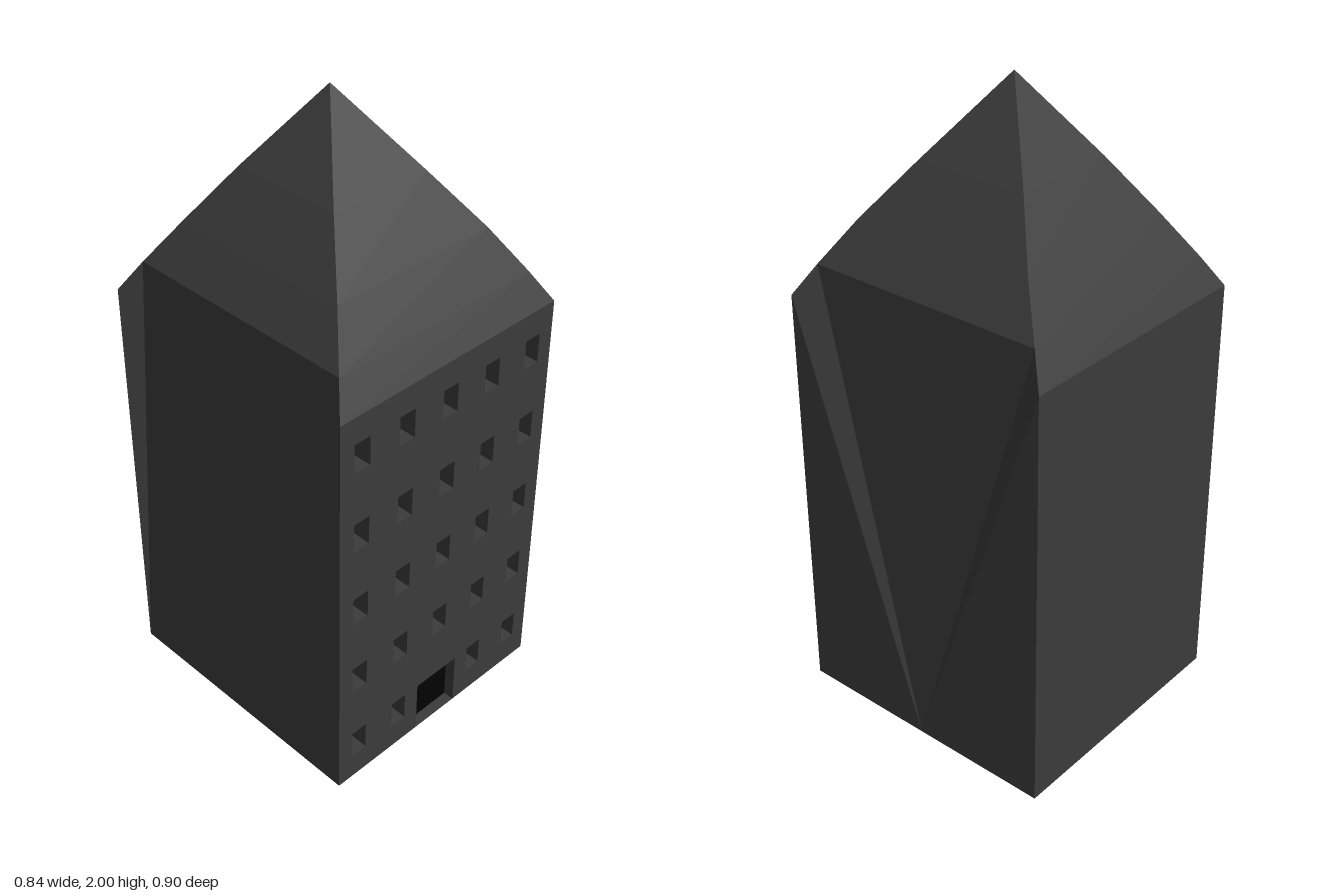
import * as THREE from 'three';

const W = 0.42, D = 0.45, EAVES = 1.355; // half width, half depth, wall height

// Roof rings [y, half width, half depth, x shift, z shift]
const RINGS = [
  [EAVES, W, D, 0, 0],
  [1.45, 0.367, 0.392, 0, 0],
  [1.585, 0.286, 0.303, 0, 0],
  [1.755, 0.172, 0.183, -0.004, -0.006],
  [2, 0, 0, -0.006, -0.012],
];

const paint = (color) => new THREE.MeshStandardMaterial({ color, flatShading: true, side: THREE.DoubleSide });

function fromTriangles(points) {
  const g = new THREE.BufferGeometry();
  g.setAttribute('position', new THREE.Float32BufferAttribute(points.flat(), 3));
  g.computeVertexNormals();
  return g;
}

// Pyramid roof; on the left and right it starts one ring up, where the side walls end
function roofGeometry() {
  const corners = [[-1, 1], [1, 1], [1, -1], [-1, -1]];
  const at = ([y, w, d, sx, sz], i) => {
    const [cx, cz] = corners[i % 4];
    return [cx * w + sx, y, cz * d + sz];
  };
  const points = [];
  for (let r = 0; r < RINGS.length - 1; r++) {
    for (let i = 0; i < 4; i++) {
      if (r === 0 && i % 2 === 1) continue;
      const a = at(RINGS[r], i), b = at(RINGS[r], i + 1);
      const c = at(RINGS[r + 1], i + 1), d = at(RINGS[r + 1], i);
      points.push(a, b, c);
      if (r < RINGS.length - 2) points.push(a, c, d);
    }
  }
  return fromTriangles(points);
}

// Side wall leaning in from the ground to the first roof ring, between upright corners
function sideWallGeometry(s) {
  const [topY, topW, topD] = RINGS[1];
  const bottom = (z) => [s * W, 0, z];
  const corner = (z) => [s * W, EAVES, z];
  const top = (z) => [s * topW, topY, z];
  const a = s * D, t = s * topD; // first edge as seen from outside
  if (s > 0) {
    // Right: folds fan out from the middle of the base
    const mid = bottom(0);
    return fromTriangles([
      bottom(a), mid, corner(a),
      mid, top(t), corner(a),
      mid, top(-t), top(t),
      mid, corner(-a), top(-t),
      mid, bottom(-a), corner(-a),
    ]);
  }
  // Left: one leaning panel with a narrow fold at each corner
  return fromTriangles([
    bottom(a), bottom(-a), top(-t),
    bottom(a), top(-t), top(t),
    bottom(a), top(t), corner(a),
    bottom(-a), corner(-a), top(-t),
  ]);
}

// Open four-sided sleeve along z: the reveal of a window or doorway
function revealGeometry(width, height, depth) {
  return new THREE.CylinderGeometry(Math.SQRT1_2, Math.SQRT1_2, 1, 4, 1, true)
    .rotateY(Math.PI / 4)
    .rotateX(Math.PI / 2)
    .scale(width, height, depth);
}

export function createModel() {
  const model = new THREE.Group();
  model.name = 'townHouse';
  const stone = paint(0x3b3b3b), glass = paint(0x263f50), dark = paint(0x020202);

  const add = (name, geometry, material, x = 0, y = 0, z = 0) => {
    const mesh = new THREE.Mesh(geometry, material);
    mesh.name = name;
    mesh.position.set(x, y, z);
    model.add(mesh);
    return mesh;
  };

  // Side walls, back wall and floor
  for (const s of [-1, 1]) add('sideWall', sideWallGeometry(s), stone);
  add('backWall', new THREE.PlaneGeometry(2 * W, EAVES), stone, 0, EAVES / 2, -D).rotation.y = Math.PI;
  add('floor', new THREE.PlaneGeometry(2 * W, 2 * D), stone).rotation.x = Math.PI / 2;

  // Facade: doorway notch in the outline, windows as holes
  const doorW = 0.17, doorH = 0.182;
  const facade = new THREE.Shape([[-W, 0], [-doorW / 2, 0], [-doorW / 2, doorH], [doorW / 2, doorH],
    [doorW / 2, 0], [W, 0], [W, EAVES], [-W, EAVES]].map(([x, y]) => new THREE.Vector2(x, y)));

  // An opening: reveal behind the facade, closed by a panel
  const addOpening = (name, x, y, width, height, depth, material) => {
    add(name + 'Reveal', revealGeometry(width, height, depth), stone, x, y, D - depth / 2);
    add(name, new THREE.PlaneGeometry(width, height), material, x, y, D - depth);
  };

  const winW = 0.058, winH = 0.096;
  for (let row = 0; row < 5; row++) {
    for (let col = -2; col <= 2; col++) {
      if (row === 0 && col === 0) continue; // the door stands here
      const x = col * 0.169, y = 0.137 + row * 0.271;
      const w = winW / 2, h = winH / 2;
      facade.holes.push(new THREE.Path([[-w, -h], [w, -h], [w, h], [-w, h]]
        .map(([dx, dy]) => new THREE.Vector2(x + dx, y + dy))));
      addOpening('windowPane', x, y, winW, winH, 0.1, glass);
    }
  }
  add('facade', new THREE.ShapeGeometry(facade), stone, 0, 0, D);
  addOpening('door', 0, doorH / 2, doorW, doorH, 0.035, dark);

  add('roof', roofGeometry(), stone);
  return model;
}
